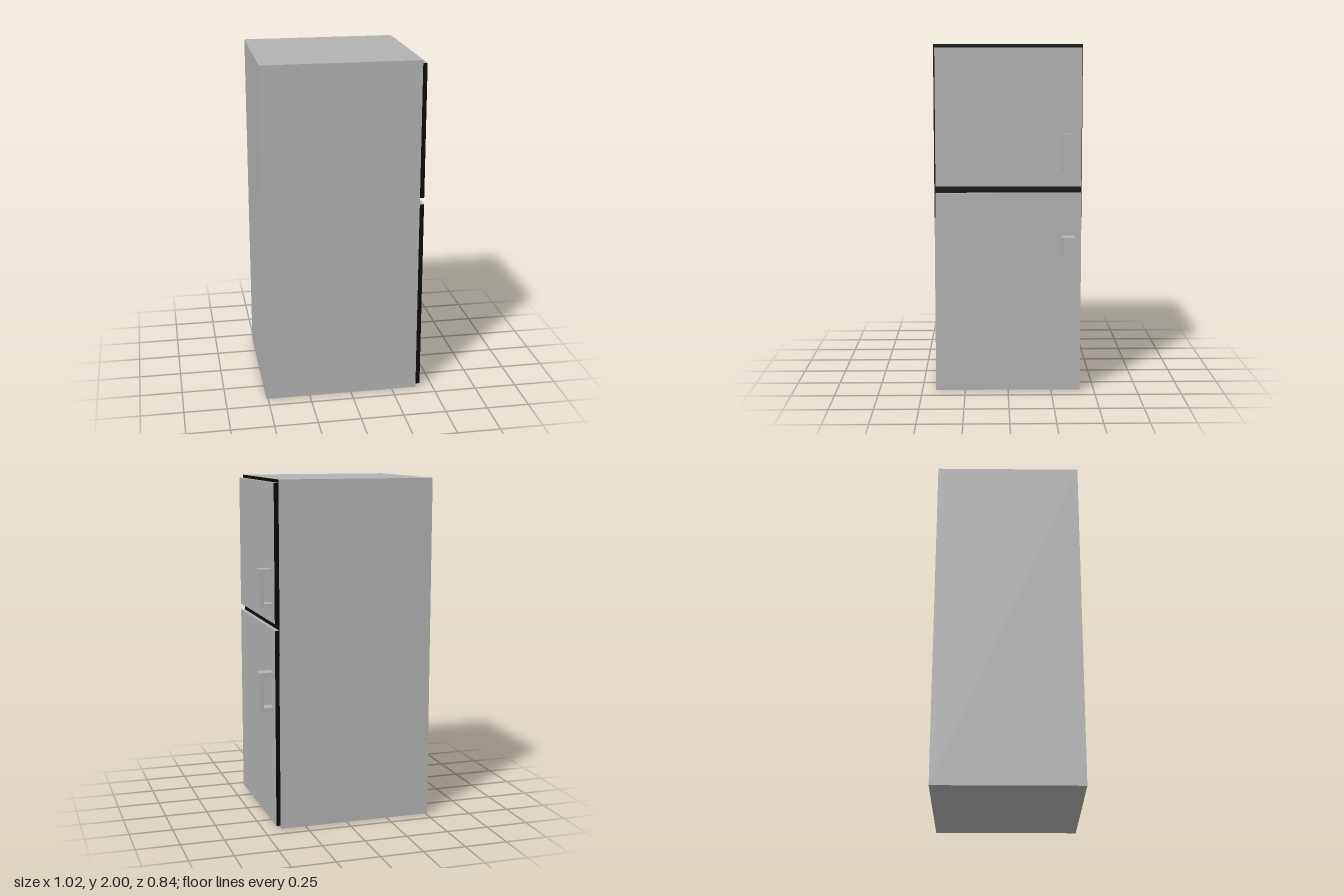
import * as THREE from 'three';

export function createModel() {
  const grey = new THREE.MeshStandardMaterial({ color: 0xb2b2b2 });
  grey.name = 'greyEnamel';
  const black = new THREE.MeshStandardMaterial({ color: 0x0a0a0a });
  black.name = 'blackSeal';

  const model = new THREE.Group();
  model.name = 'refrigerator';

  // Box given by its minimum and maximum corners
  function addBox(parent, name, min, max, material) {
    const size = max.map((v, i) => v - min[i]);
    const mesh = new THREE.Mesh(new THREE.BoxGeometry(...size), material);
    mesh.position.set(...max.map((v, i) => (v + min[i]) / 2));
    mesh.name = name;
    parent.add(mesh);
    return mesh;
  }

  // Cabinet, with a dark seal behind the upper part of the doors
  addBox(model, 'cabinet', [-0.51, 0, -0.42], [0.398, 2, 0.42], grey);
  const seal = new THREE.Mesh(new THREE.PlaneGeometry(0.84, 0.98), black);
  seal.rotation.y = Math.PI / 2;
  seal.position.set(0.399, 1.51, 0);
  seal.name = 'doorSeal';
  model.add(seal);

  // Doors have black side edges (+z and -z faces)
  const doorMaterials = [grey, grey, grey, grey, black, black];

  function addDoor(name, y0, y1, handleY0, handleY1, reach) {
    const door = new THREE.Group();
    door.name = name;
    addBox(door, name + 'Panel', [0.4, y0, -0.415], [0.425, y1, 0.412], doorMaterials);

    // Square bracket handle extruded across its width
    const shape = new THREE.Shape([
      [0.425, handleY0], [reach, handleY0], [reach, handleY1], [0.425, handleY1],
      [0.425, handleY1 - 0.03], [reach - 0.024, handleY1 - 0.03],
      [reach - 0.024, handleY0 + 0.025], [0.425, handleY0 + 0.025],
    ].map(([x, y]) => new THREE.Vector2(x, y)));
    const handle = new THREE.Mesh(
      new THREE.ExtrudeGeometry(shape, { depth: 0.073, bevelEnabled: false }), grey);
    handle.position.z = -0.378;
    handle.name = name + 'Handle';
    door.add(handle);
    model.add(door);
  }

  addDoor('freezerDoor', 1.2, 1.982, 1.285, 1.505, 0.5);
  addDoor('fridgeDoor', 0.018, 1.162, 0.688, 0.917, 0.506);

  return model;
}
